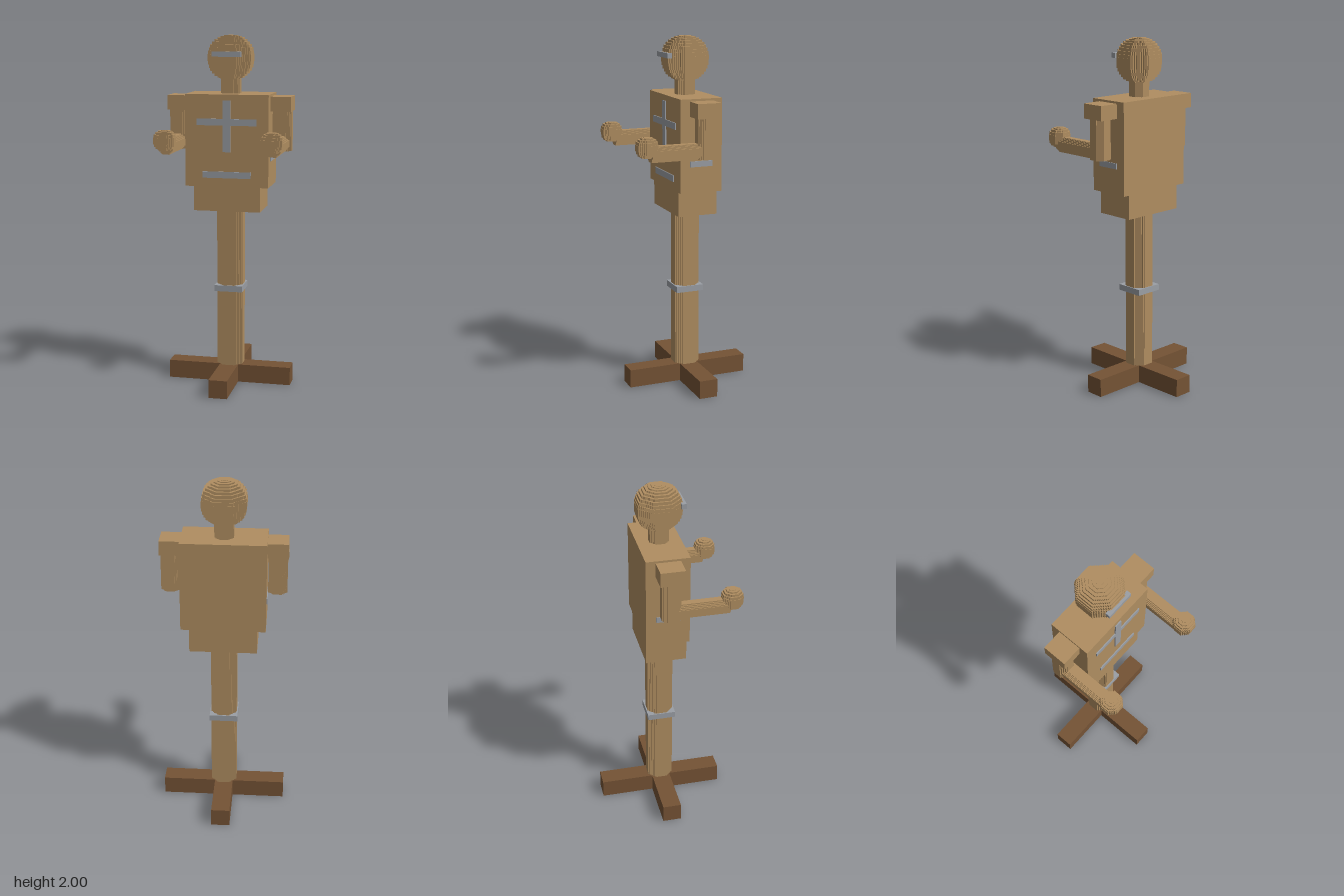
import * as THREE from 'three';
import { mergeGeometries } from 'three/addons/utils/BufferGeometryUtils.js';

const material = (name, color) => Object.assign(new THREE.MeshStandardMaterial({ color }), { name });

// Octagon whose four diagonal sides are small square stairs
function steppedOctagon(r, steps) {
  const c = r * Math.tan(Math.PI / 8), d = (r - c) / steps, points = [];
  for (let q = 0; q < 4; q++) {
    const co = Math.round(Math.cos(q * Math.PI / 2)), si = Math.round(Math.sin(q * Math.PI / 2));
    const add = (x, y) => points.push(new THREE.Vector2(x * co - y * si, x * si + y * co));
    add(r, c);
    for (let i = 0; i < steps; i++) {
      add(r - i * d, c + (i + 0.5) * d);
      add(r - (i + 1) * d, c + (i + 0.5) * d);
    }
    add(c, r);
  }
  return new THREE.Shape(points);
}

// Upright stepped prism from y0 to y1
function prism(r, y0, y1, steps) {
  const g = new THREE.ExtrudeGeometry(steppedOctagon(r, steps), { depth: y1 - y0, bevelEnabled: false });
  return g.rotateX(-Math.PI / 2).translate(0, y0, 0);
}

// Ball made of stacked stepped layers at equal angles
function layeredBall(r, ry, layers, steps) {
  const parts = [];
  for (let k = 0; k < layers; k++) {
    const a = k * Math.PI / layers, b = (k + 1) * Math.PI / layers;
    parts.push(prism(r * Math.max(Math.sin(a), Math.sin(b)), ry * Math.cos(b), ry * Math.cos(a), steps));
  }
  return mergeGeometries(parts);
}

export function createModel() {
  const model = new THREE.Group();
  model.name = 'trainingDummy';
  const wood = material('lightWood', 0xb08e61);
  const darkWood = material('darkWood', 0x755335);
  const metal = material('greyMetal', 0x9b9fa5);
  const mid = -0.018; // depth of the central axis

  const add = (name, geometry, mat, x = 0, y = 0, z = 0) => {
    const mesh = new THREE.Mesh(geometry, mat);
    mesh.name = name;
    mesh.position.set(x, y, z);
    model.add(mesh);
    return mesh;
  };
  // Box given by its limits on each axis
  const box = (name, mat, x0, x1, y0, y1, z0, z1) =>
    add(name, new THREE.BoxGeometry(x1 - x0, y1 - y0, z1 - z0), mat,
      (x0 + x1) / 2, (y0 + y1) / 2, (z0 + z1) / 2);

  // Crossed foot: one long bar and two short side bars
  box('footBar', darkWood, -0.053, 0.053, 0, 0.104, -0.375, 0.34);
  box('footSideRight', darkWood, -0.358, -0.053, 0, 0.104, -0.071, 0.035);
  box('footSideLeft', darkWood, 0.053, 0.358, 0, 0.104, -0.071, 0.035);

  // Post with its band
  add('post', prism(0.074, 0.1, 1.03, 5), wood, 0, 0, mid);
  box('postBand', metal, -0.081, 0.081, 0.545, 0.58, mid - 0.081, mid + 0.081);

  // Body
  box('hips', wood, -0.19, 0.19, 1.02, 1.16, -0.131, 0.097);
  box('torso', wood, -0.237, 0.237, 1.16, 1.677, -0.14, 0.103);
  add('neck', prism(0.053, 1.67, 1.78, 4), wood, 0, 0, mid);
  add('head', layeredBall(0.122, 0.125, 20, 8), wood, 0, 1.875, mid);
  box('visor', metal, -0.081, 0.081, 1.884, 1.912, 0.09, 0.117);

  // Chest and belly markings
  box('chestUpright', metal, -0.022, 0.022, 1.357, 1.645, 0.1, 0.11);
  box('chestBar', metal, -0.17, 0.17, 1.505, 1.542, 0.1, 0.109);
  box('bellyStripe', metal, -0.138, 0.138, 1.21, 1.246, 0.1, 0.109);

  // Arms, mirrored
  for (const [side, s] of [['Left', 1], ['Right', -1]]) {
    const x = s * 0.296;
    add('shoulder' + side, new THREE.BoxGeometry(0.116, 0.082, 0.136), wood, s * 0.294, 1.624, mid);
    add('upperArm' + side, prism(0.053, 1.36, 1.6, 4), wood, x, 0, mid);
    add('forearm' + side, prism(0.043, 0, 0.32, 4), wood, x, 1.403, mid).rotation.x = Math.PI / 2;
    add('hand' + side, layeredBall(0.057, 0.056, 10, 4), wood, x, 1.44, 0.319);
    add('sideStripe' + side, new THREE.BoxGeometry(0.008, 0.032, 0.132), metal, s * 0.238, 1.321, mid);
  }
  return model;
}
